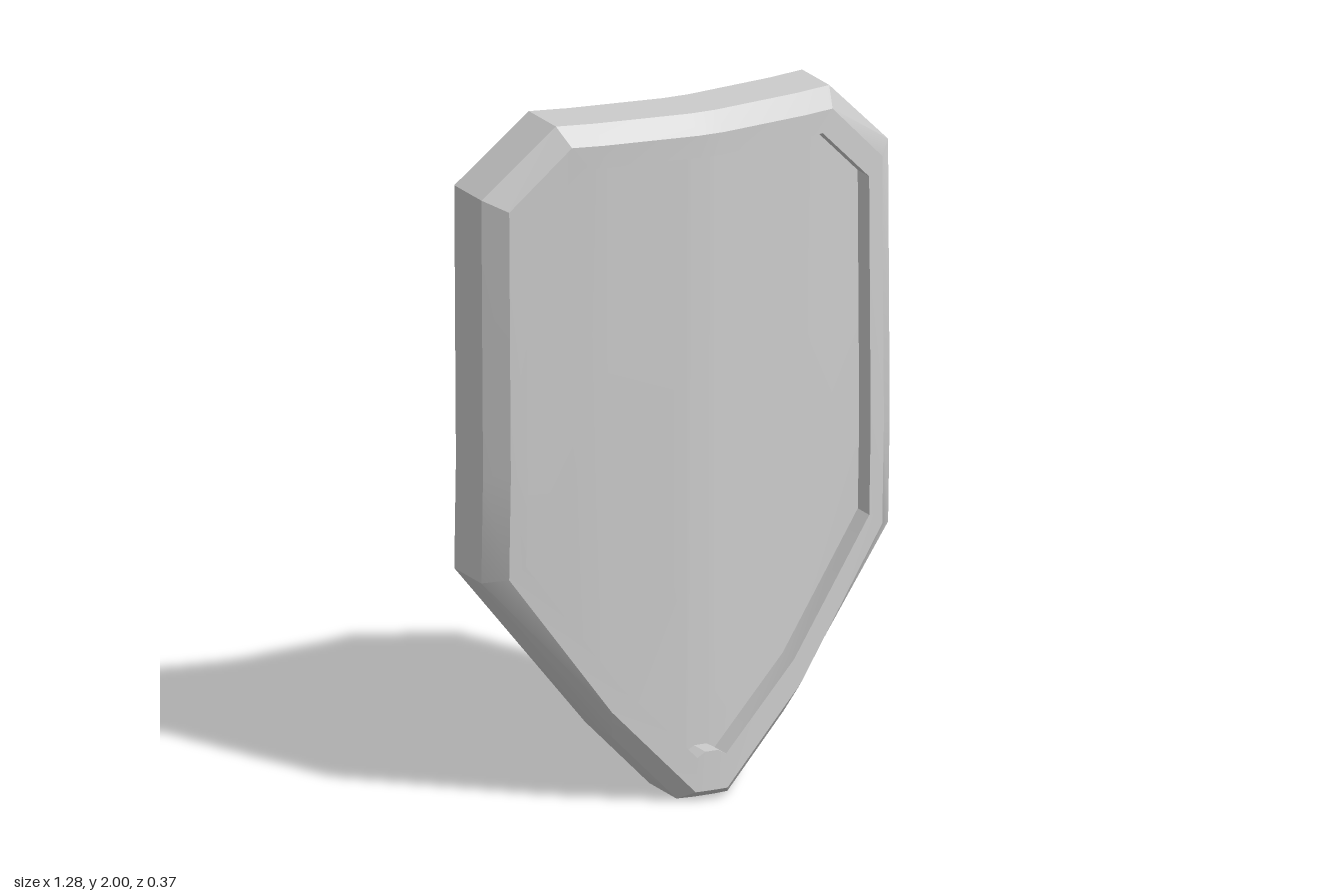
import * as THREE from 'three';
import { toCreasedNormals } from 'three/addons/utils/BufferGeometryUtils.js';

// Right half outlines [x, y], from the bottom tip to the middle of the top edge
const OUTER = [[.03, 0], [.08, 0], [.27, .2], [.64, .68], [.64, 1], [.64, 1.8], [.43, 2], [.32, 2], [.04, 2]];
const BEVEL = [[.02, .03], [.05, .03], [.297, .29], [.587, .7], [.587, 1], [.587, 1.775], [.41, 1.95], [.32, 1.95], [.04, 1.95]];
const INNER = [[.02, .145], [.045, .13], [.275, .365], [.54, .735], [.54, 1], [.54, 1.725], [.375, 1.885], [.32, 1.885], [.04, 1.885]];
const SIDE = 4; // index of the middle point of the side edge

const { clamp, lerp } = THREE.MathUtils;

// Sweep of the shield: sides fall back from the centre strip, with a slight bulge at mid side
function bend(x, y) {
  const a = Math.abs(x);
  const sweep = a < .04 ? 0 : a < .32 ? -.0375 * (a - .04) / .28 : -.0375 - .0725 * (a - .32) / .32;
  const rise = y < 1 ? (y - .7) / .3 : (1.77 - y) / .77;
  return sweep + .01 * clamp(rise, 0, 1) * clamp((a - .45) / .09, 0, 1);
}

const lift = (half, z) => half.map(([x, y]) => [x, y, z + bend(x, y)]);
const mirror = ([x, y, z]) => [-x, y, z];

// Closed ring, counter-clockwise seen from the front
function ring(half, z) {
  const right = lift(half, z);
  return [...right, ...right.map(mirror).reverse()];
}

function quad(out, a, b, c, d) {
  out.push(...a, ...b, ...c, ...a, ...c, ...d);
}

function makeMesh(name, positions) {
  const geometry = new THREE.BufferGeometry();
  geometry.setAttribute('position', new THREE.Float32BufferAttribute(positions, 3));
  const mesh = new THREE.Mesh(toCreasedNormals(geometry, .5), new THREE.MeshStandardMaterial({ color: 0xcccccc }));
  mesh.name = name;
  return mesh;
}

// Skin over a series of rings
function loft(name, rings) {
  const out = [];
  for (let r = 0; r < rings.length - 1; r++) {
    const a = rings[r], b = rings[r + 1], n = a.length;
    for (let i = 0; i < n; i++) {
      const j = (i + 1) % n;
      quad(out, a[i], a[j], b[j], b[i]);
    }
  }
  return makeMesh(name, out);
}

// Point at x along a chain of points sorted by x
function along(chain, x) {
  if (x <= chain[0][0]) return [x, chain[0][1], chain[0][2]];
  for (let i = 1; i < chain.length; i++) {
    const p = chain[i - 1], q = chain[i];
    if (x <= q[0]) {
      const t = (x - p[0]) / (q[0] - p[0]);
      return [x, lerp(p[1], q[1], t), lerp(p[2], q[2], t)];
    }
  }
  return chain[chain.length - 1];
}

// Curved panel filling an outline; sag pushes its interior back near mid width
function panel(name, half, z, facing, sag) {
  const pts = lift(half, z);
  const low = pts.slice(0, SIDE), high = pts.slice(SIDE + 1).reverse();
  const mid = (half[SIDE][1] - half[SIDE - 1][1]) / (half[SIDE + 1][1] - half[SIDE - 1][1]);
  const rows = [0, mid, .65, 1];
  const xs = [...new Set(half.map(p => p[0]))].sort((a, b) => a - b);
  const rightCols = xs.map(x => {
    const a = along(low, x), b = along(high, x);
    const dip = sag * clamp(1 - Math.abs(x - .32) / .26, 0, 1);
    return rows.map((t, i) => {
      if (i === 0) return a;
      if (i === rows.length - 1) return b;
      const y = lerp(a[1], b[1], t);
      return [x, y, z + bend(x, y) - dip];
    });
  });
  const cols = [...rightCols.map(c => c.map(mirror)).reverse(), ...rightCols];
  const out = [];
  for (let c = 0; c < cols.length - 1; c++) {
    for (let r = 0; r < rows.length - 1; r++) {
      const a = cols[c][r], b = cols[c + 1][r], d = cols[c + 1][r + 1], e = cols[c][r + 1];
      if (facing > 0) quad(out, a, b, d, e);
      else quad(out, a, e, d, b);
    }
  }
  return makeMesh(name, out);
}

export function createModel() {
  const shield = new THREE.Group();
  shield.name = 'shield';
  // Bevelled frame, from the back edge round to the foot of the front recess
  shield.add(loft('rim', [
    ring(BEVEL, -.09), ring(OUTER, -.035), ring(OUTER, .13),
    ring(BEVEL, .185), ring(INNER, .185), ring(INNER, .115),
  ]));
  // Recessed face and flush back
  shield.add(panel('frontPanel', INNER, .115, 1, 0));
  shield.add(panel('backPanel', BEVEL, -.09, -1, .014));
  return shield;
}
